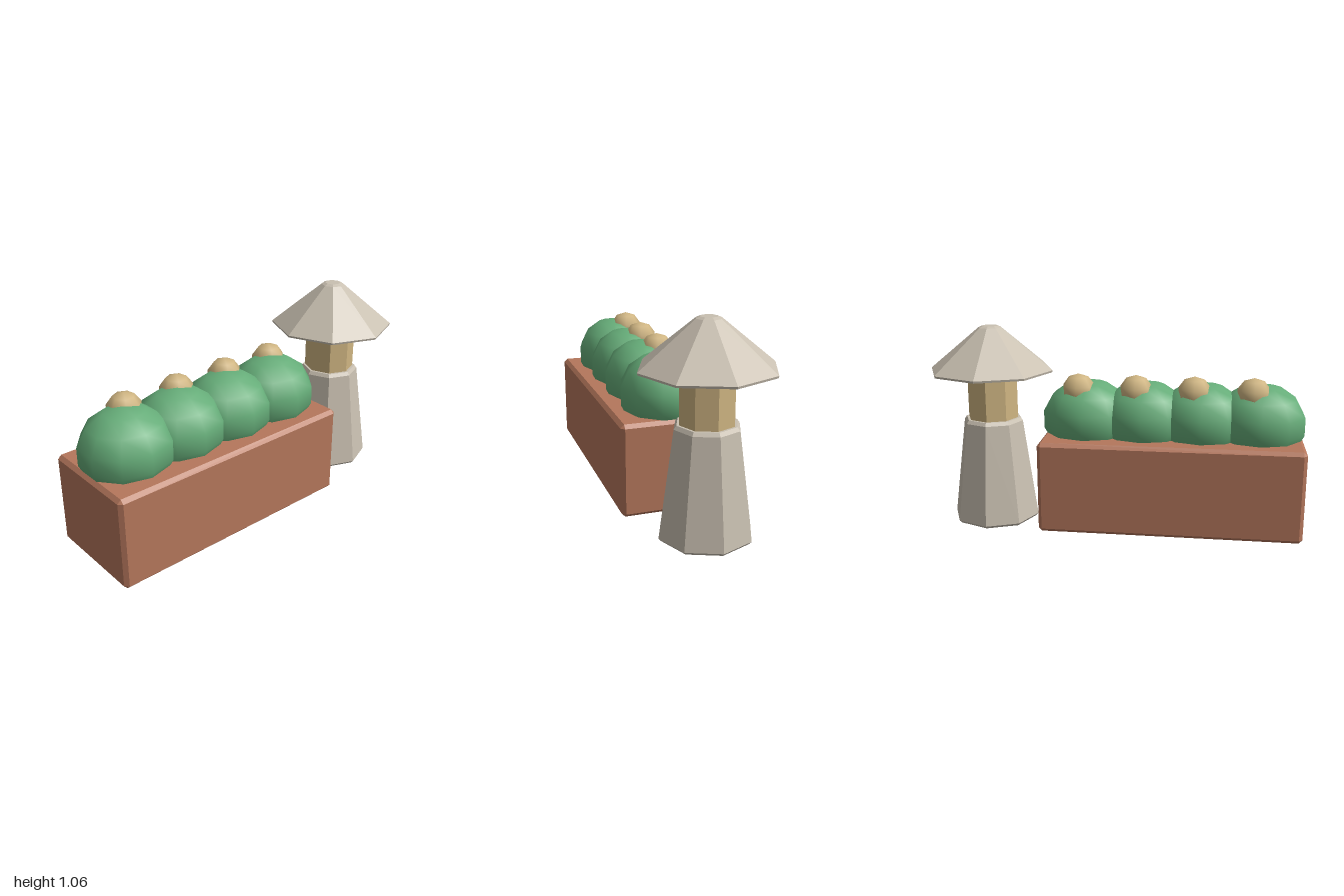
import * as THREE from 'three';
import { ConvexGeometry } from 'three/addons/geometries/ConvexGeometry.js';

function material(name, color, flatShading = false) {
  const m = new THREE.MeshStandardMaterial({ color, flatShading });
  m.name = name;
  return m;
}

// Box with chamfered edges: three corner points for every corner
function chamferBox(w, h, d, c) {
  const points = [];
  for (const sx of [-1, 1]) for (const sy of [-1, 1]) for (const sz of [-1, 1]) {
    const x = w / 2, y = h / 2, z = d / 2;
    points.push(
      new THREE.Vector3(sx * x, sy * (y - c), sz * (z - c)),
      new THREE.Vector3(sx * (x - c), sy * y, sz * (z - c)),
      new THREE.Vector3(sx * (x - c), sy * (y - c), sz * z));
  }
  return new ConvexGeometry(points);
}

// Eight-sided turned shape from [radius, height] pairs, bottom to top
function octagonal(profile) {
  return new THREE.LatheGeometry(profile.map(([r, y]) => new THREE.Vector2(r, y)), 8);
}

// Coarse smooth ball with a corner pointing to the back
function ball(r, segments, rings) {
  return new THREE.SphereGeometry(r, segments, rings).rotateY(-Math.PI / 2);
}

export function createModel() {
  const model = new THREE.Group();
  model.name = 'planterAndLantern';
  const terracotta = material('terracotta', 0xb5775c);
  const leaf = material('leaf green', 0x66ad79);
  const stone = material('stone', 0xc9c0b1, true);
  const sand = material('warm sand', 0xcfb582);
  sand.flatShading = false;

  function add(name, geometry, mat, x, y, z, parent = model) {
    const mesh = new THREE.Mesh(geometry, mat);
    mesh.name = name;
    mesh.position.set(x, y, z);
    parent.add(mesh);
    return mesh;
  }

  // Planter box
  add('planter', chamferBox(1.38, 0.49, 0.56, 0.019), terracotta, -0.311, 0.245, 0.05);

  // Row of shrubs, each with a blossom on top
  const shrubGeometry = ball(0.224, 10, 7).scale(1.1, 0.95, 1);
  const blossomGeometry = ball(0.0918, 7, 5);
  for (let i = 0; i < 4; i++) {
    const x = -0.7715 + i * 0.307;
    add('shrub', shrubGeometry, leaf, x, 0.567, 0.05);
    add('blossom', blossomGeometry, sand, x + 0.04, 0.728, -0.01);
  }

  // Garden lantern: tapered foot, light chamber, wide roof
  const lantern = new THREE.Group();
  lantern.name = 'lantern';
  lantern.position.set(0.664, 0, 0);
  model.add(lantern);
  add('lanternFoot', octagonal([
    [0, 0], [0.222, 0], [0.236, 0.015], [0.163, 0.55], [0.15, 0.568], [0, 0.568],
  ]), stone, 0, 0, 0, lantern);
  // Unshared corners keep the chamber's edges crisp
  const chamber = octagonal([[0.137, 0.56], [0.137, 0.825]]).toNonIndexed();
  chamber.computeVertexNormals();
  add('lanternChamber', chamber, sand, 0, 0, 0, lantern);
  add('lanternRoof', octagonal([
    [0, 0.82], [0.331, 0.82], [0.334, 0.831], [0.062, 1.055], [0.042, 1.064], [0, 1.064],
  ]), stone, 0, 0, 0, lantern);

  return model;
}
